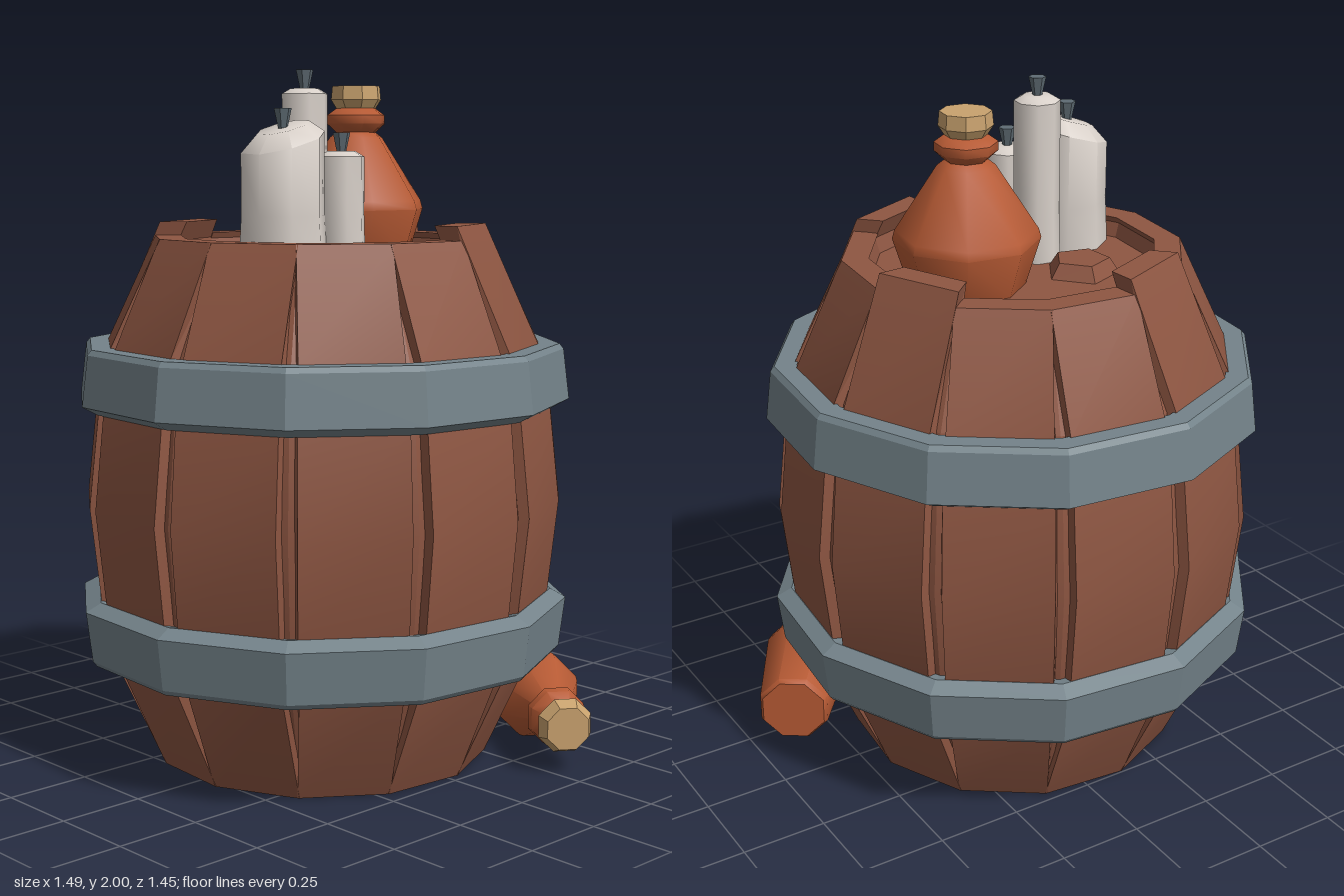
import * as THREE from 'three';
import { toCreasedNormals } from 'three/addons/utils/BufferGeometryUtils.js';

const RAD = Math.PI / 180;

function material(name, color) {
  const m = new THREE.MeshStandardMaterial({ color });
  m.name = name;
  return m;
}

function mesh(name, geometry, mat, crease = 0.25) {
  const m = new THREE.Mesh(toCreasedNormals(geometry, crease), mat);
  m.name = name;
  return m;
}

// Lathe from [radius, height] pairs, listed from the bottom up the outside
function turned(points, sides, startDegrees = 0) {
  return new THREE.LatheGeometry(points.map(p => new THREE.Vector2(...p)), sides, startDegrees * RAD);
}

// Stave stations: [height, distance from the axis, half width]
const STATIONS = [
  [0, 0.475, 0.13], [0.32, 0.62, 0.143], [0.5, 0.655, 0.15], [0.77, 0.684, 0.153],
  [1.04, 0.655, 0.15], [1.22, 0.62, 0.143], [1.53, 0.475, 0.13],
];

// One bent stave facing +z, lofted through trapezoid cross-sections
function staveGeometry(extra) {
  const thickness = 0.075;
  const pos = [], idx = [];
  STATIONS.forEach(([y, a, w], i) => {
    const last = i === STATIONS.length - 1;
    const h = last ? y + extra : y;
    const out = last ? a - extra * 0.4 : a;
    const inner = out - thickness;
    const wi = inner * Math.tan(15 * RAD);
    pos.push(-w, h, out, w, h, out, wi, h, inner, -wi, h, inner);
  });
  for (let i = 0; i < STATIONS.length - 1; i++) {
    for (let j = 0; j < 4; j++) {
      const a = i * 4 + j, b = i * 4 + (j + 1) % 4;
      idx.push(a, b, b + 4, a, b + 4, a + 4);
    }
  }
  const t = (STATIONS.length - 1) * 4;
  idx.push(t, t + 1, t + 2, t, t + 2, t + 3, 0, 2, 1, 0, 3, 2);
  const g = new THREE.BufferGeometry();
  g.setAttribute('position', new THREE.Float32BufferAttribute(pos, 3));
  g.setIndex(idx);
  return g;
}

function createBarrel(wood, metal) {
  const barrel = new THREE.Group();
  barrel.name = 'barrel';
  barrel.position.set(-0.045, 0, -0.01);

  // Twelve staves, three of them standing taller
  for (let k = 0; k < 12; k++) {
    const tall = k === 0 || k === 3 || k === 6;
    const stave = mesh('stave', staveGeometry(tall ? 0.04 : 0), wood);
    stave.rotation.y = (24.5 + 30 * k) * RAD;
    barrel.add(stave);
  }

  // Core behind the gaps, with recessed lid and bottom
  const shell = STATIONS.map(([y, a]) =>
    [(a - 0.03) / Math.cos(15 * RAD), THREE.MathUtils.clamp(y, 0.01, 1.52)]);
  const core = [[0, 0.09], [0.425, 0.09], [0.425, 0.01], ...shell,
    [0.425, 1.52], [0.41, 1.47], [0, 1.47]];
  barrel.add(mesh('barrelCore', turned(core, 12, 9.5), wood));

  // Hoops, the lower one a mirrored profile of the upper
  const hoop = [[0.63, 1.05], [0.68, 1.04], [0.725, 1.065], [0.707, 1.21], [0.695, 1.225], [0.63, 1.225]];
  const lower = hoop.map(([r, y]) => [r, 1.54 - y]).reverse();
  barrel.add(mesh('upperHoop', turned(hoop, 12, 9.5), metal, 0.1));
  barrel.add(mesh('lowerHoop', turned(lower, 12, 9.5), metal, 0.1));

  // Five-sided bung on the lid
  const bung = mesh('bung', new THREE.CylinderGeometry(0.08, 0.11, 0.045, 5), wood);
  bung.position.set(-0.15, 1.49, -0.125);
  bung.rotation.y = 95 * RAD;
  barrel.add(bung);
  return barrel;
}

function createBottle(name, body, stopper, clay, cork, start) {
  const bottle = new THREE.Group();
  bottle.name = name;
  bottle.add(mesh('bottleBody', turned(body, 8, start), clay, 0.85));
  bottle.add(mesh('cork', turned(stopper, 8, start), cork, 0.3));
  return bottle;
}

// Candle with a bevelled top that can slope along x
function createCandle(x, z, radius, top, slope, bevel, wax, wickMat) {
  const candle = new THREE.Group();
  candle.name = 'candle';
  candle.position.set(x, 0, z);
  const g = turned([[0, 1.46], [radius * 1.06, 1.46], [radius, 1.6], [radius, top - bevel],
    [radius * 0.62, top], [0, top]], 8, 15);
  const p = g.attributes.position;
  for (let i = 0; i < p.count; i++) {
    if (p.getY(i) > 1.65) p.setY(i, p.getY(i) + slope * p.getX(i));
  }
  candle.add(mesh('wax', g, wax, 0.85));
  const wick = mesh('wick', new THREE.CylinderGeometry(0.025, 0.012, 0.06, 6), wickMat);
  wick.position.y = top + 0.022;
  candle.add(wick);
  return candle;
}

export function createModel() {
  const wood = material('wood', 0x8e5642);
  const metal = material('hoop metal', 0x74838a);
  const clay = material('bottle clay', 0xb65a34);
  const cork = material('cork', 0xc9a26e);
  const wax = material('candle wax', 0xd9d1ca);
  const wick = material('wick', 0x5f6c74);

  const model = new THREE.Group();
  model.name = 'barrelWithCandles';
  model.add(createBarrel(wood, metal));

  // Squat bottle on the lid
  const standing = createBottle('standingBottle',
    [[0, 0], [0.165, 0], [0.207, 0.135], [0.2, 0.16], [0.08, 0.345], [0.06, 0.36], [0.088, 0.385],
      [0.088, 0.41], [0.06, 0.43], [0, 0.43]],
    [[0, 0.425], [0.06, 0.43], [0.076, 0.455], [0.072, 0.495], [0, 0.495]],
    clay, cork, 15);
  standing.position.set(0.13, 1.47, -0.045);
  model.add(standing);

  // Slim bottle lying on the ground against the barrel
  const lying = createBottle('lyingBottle',
    [[0, 0], [0.1, 0], [0.11, 0.015], [0.135, 0.32], [0.126, 0.36], [0.06, 0.49], [0.06, 0.505],
      [0.09, 0.535], [0.085, 0.56], [0.058, 0.59], [0, 0.59]],
    [[0, 0.585], [0.06, 0.59], [0.084, 0.63], [0.066, 0.67], [0, 0.67]],
    clay, cork, 22.5);
  lying.position.set(0.65, 0.135, 0.135);
  lying.rotation.set(Math.PI / 2, 0, 0);
  const turn = new THREE.Group();
  turn.name = 'lyingBottlePivot';
  turn.position.copy(lying.position);
  lying.position.set(0, 0, 0);
  turn.rotation.y = Math.atan2(-0.565, 0.825);
  turn.add(lying);
  model.add(turn);

  // Three candles
  model.add(createCandle(-0.31, 0.12, 0.118, 1.84, 0.3, 0.04, wax, wick));
  model.add(createCandle(-0.155, 0.04, 0.066, 1.95, 0, 0.015, wax, wick));
  model.add(createCandle(-0.14, 0.175, 0.066, 1.775, 0, 0.015, wax, wick));
  return model;
}
